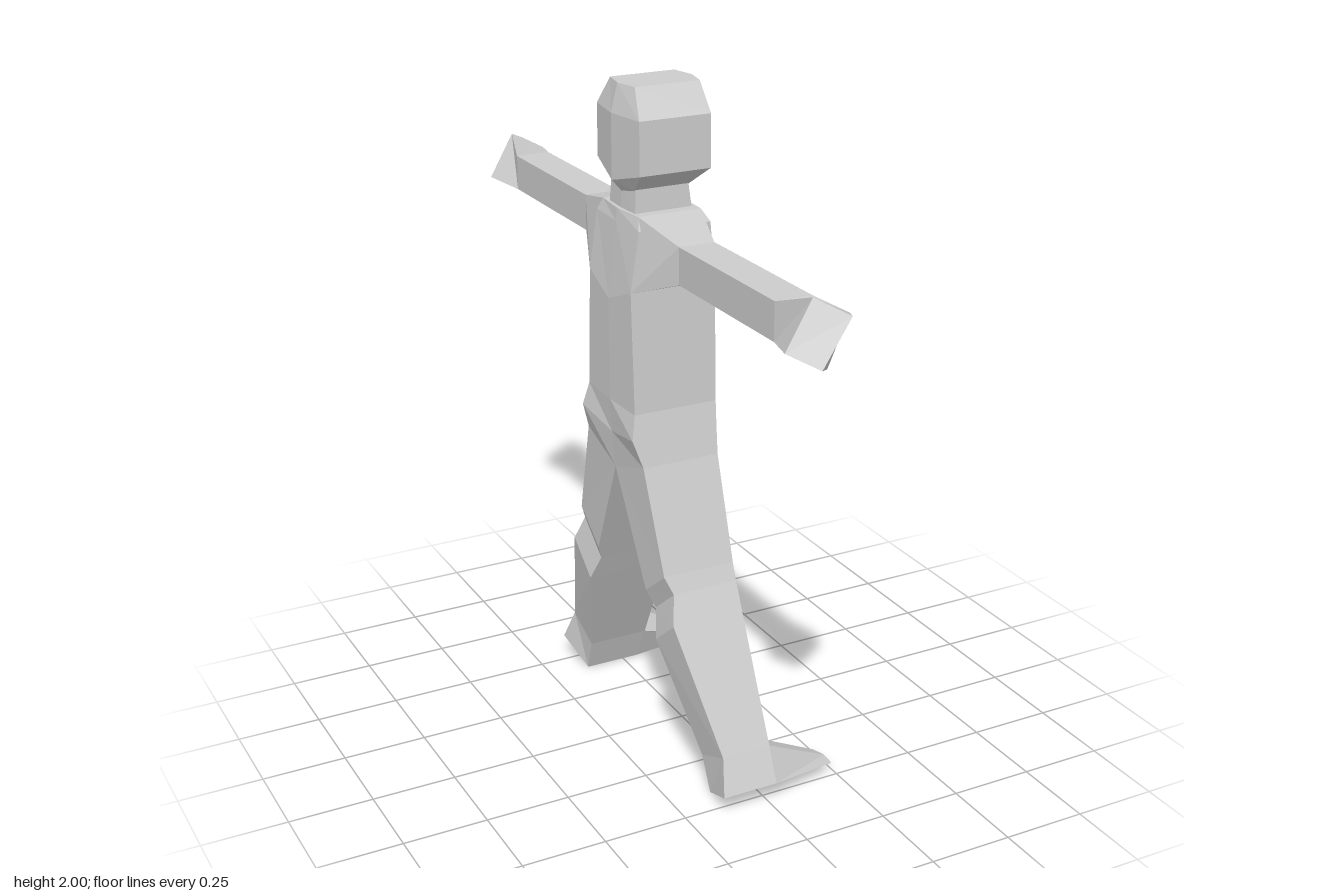
import * as THREE from 'three';

// Closed flat-shaded skin over a list of equal-length rings of [x, y, z], capped at both ends.
function loft(rings) {
  const tris = [];
  const n = rings[0].length;
  for (let r = 0; r < rings.length - 1; r++) {
    for (let i = 0; i < n; i++) {
      const j = (i + 1) % n;
      const a = rings[r][i], b = rings[r][j], c = rings[r + 1][j], d = rings[r + 1][i];
      tris.push([a, b, c], [a, c, d]);
    }
  }
  const first = rings[0], last = rings[rings.length - 1];
  for (let i = 1; i < n - 1; i++) {
    tris.push([first[0], first[i + 1], first[i]], [last[0], last[i], last[i + 1]]);
  }
  // Turn every face outward, judged by the enclosed volume
  const o = new THREE.Vector3(...first[0]);
  let volume = 0;
  for (const t of tris) {
    const [a, b, c] = t.map((p) => new THREE.Vector3(...p).sub(o));
    volume += a.dot(b.cross(c));
  }
  if (volume < 0) tris.forEach((t) => t.reverse());
  const geo = new THREE.BufferGeometry();
  geo.setAttribute('position', new THREE.Float32BufferAttribute(tris.flat(2), 3));
  geo.computeVertexNormals();
  return geo;
}

// Six-sided body section: ridge down the middle of the front and back.
// [side y, middle y, half width, front middle x, front side x, back side x, back middle x]
const hex = ([y, my, w, fm, fs, bs, bm]) => [
  [fm, my, 0], [fs, y, w], [bs, y, w], [bm, my, 0], [bs, y, -w], [fs, y, -w],
];

export function createModel() {
  const model = new THREE.Group();
  model.name = 'figure';
  const grey = new THREE.MeshStandardMaterial({ color: 0xcccccc });
  grey.name = 'light grey';
  const add = (name, rings) => {
    const mesh = new THREE.Mesh(loft(rings), grey);
    mesh.name = name;
    model.add(mesh);
  };

  add('head', [
    [1.715, 1.7, 0.07, 0.0, -0.02, -0.18, -0.185],
    [1.77, 1.735, 0.13, 0.06, 0.02, -0.195, -0.215],
    [1.92, 1.92, 0.13, 0.06, 0.02, -0.195, -0.215],
    [2.0, 2.0, 0.075, 0.03, 0.015, -0.18, -0.195],
  ].map(hex));

  add('neck', [
    [1.64, 1.64, 0.08, 0.0, -0.01, -0.185, -0.19],
    [1.725, 1.725, 0.075, -0.005, -0.02, -0.18, -0.185],
  ].map(hex));

  add('torso', [
    [0.95, 0.89, 0.18, 0.06, 0.02, -0.215, -0.215],
    [1.03, 1.0, 0.163, 0.065, 0.025, -0.24, -0.225],
    [1.1, 1.1, 0.148, 0.07, 0.03, -0.225, -0.23],
    [1.45, 1.4, 0.13, 0.07, 0.035, -0.225, -0.23],
    [1.62, 1.62, 0.13, 0.035, 0.02, -0.2, -0.205],
    [1.655, 1.655, 0.11, 0.005, 0.0, -0.19, -0.2],
  ].map(hex));

  // Leg sections: [outer y, outer z, inner y, inner z, back x]
  const legSections = [
    [0.95, 0.18, 0.89, 0, -0.215],
    [0.65, 0.275, 0.56, 0.159, -0.2],
    [0.6, 0.295, 0.51, 0.183, -0.18],
    [0.52, 0.332, 0.43, 0.221, -0.2],
    [0.165, 0.5, 0.11, 0.375, -0.13],
  ];

  for (const [side, s] of [['left', -1], ['right', 1]]) {
    const flip = (rings) => rings.map((r) => r.map(([x, y, z]) => [x, y, z * s]));

    add(side + 'Leg', flip(legSections.map(([oy, oz, iy, iz, back]) => [
      [0.02, oy, oz], [0.06, iy, iz], [back, iy, iz], [back, oy, oz],
    ])));

    // Foot, from heel to toe
    add(side + 'Foot', flip([
      [[-0.13, 0.165, 0.5], [-0.13, 0.11, 0.375], [-0.125, 0.005, 0.415], [-0.15, 0.065, 0.545]],
      [[0.02, 0.165, 0.5], [0.06, 0.11, 0.375], [0.05, 0.005, 0.415], [0.02, 0.065, 0.545]],
      [[0.22, 0.065, 0.475], [0.225, 0.045, 0.41], [0.24, 0.015, 0.425], [0.24, 0.038, 0.487]],
    ]));

    // Shoulder and arm, widening into the hand with a ridged tip
    add(side + 'Arm', flip([
      [[0.0, 1.655, 0.11], [0.035, 1.45, 0.13], [-0.225, 1.45, 0.13], [-0.19, 1.655, 0.11]],
      [[-0.055, 1.615, 0.29], [-0.055, 1.51, 0.29], [-0.16, 1.51, 0.29], [-0.16, 1.615, 0.29]],
      [[-0.055, 1.615, 0.79], [-0.055, 1.51, 0.79], [-0.16, 1.51, 0.79], [-0.16, 1.615, 0.79]],
      [[-0.02, 1.6, 0.91], [-0.08, 1.465, 0.91], [-0.2, 1.525, 0.91], [-0.125, 1.655, 0.91]],
      [[-0.06, 1.62, 0.985], [-0.14, 1.495, 0.985], [-0.14, 1.495, 0.985], [-0.06, 1.62, 0.985]],
    ]));
  }
  return model;
}
